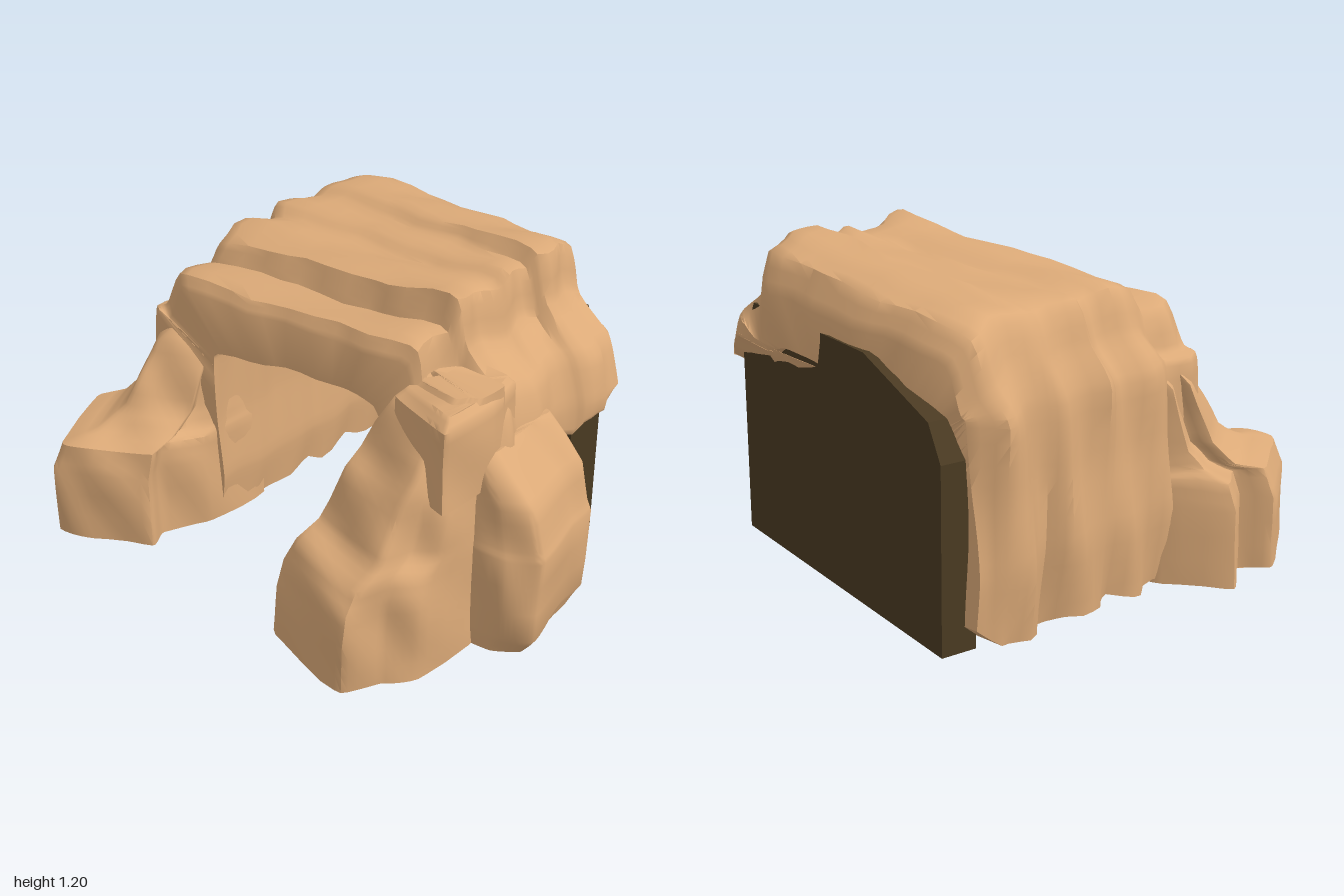
import * as THREE from 'three';
import { toCreasedNormals } from 'three/addons/utils/BufferGeometryUtils.js';

const rock = new THREE.MeshStandardMaterial({ color: 0xdcaa78, side: THREE.DoubleSide });
const dark = new THREE.MeshStandardMaterial({ color: 0x4a3a22 });

// Skin a stack of equal closed rings and close both ends with strips
function skin(rings, crease = 0.8) {
  const M = rings[0].length, pos = [], idx = [];
  rings.forEach(r => r.forEach(p => pos.push(p.x, p.y, p.z)));
  for (let j = 0; j < rings.length - 1; j++) {
    for (let i = 0; i < M; i++) {
      const a = j * M + i, b = j * M + (i + 1) % M;
      idx.push(a, b, a + M, b, b + M, a + M);
    }
  }
  const end = (rings.length - 1) * M;
  for (let i = 0; i < M / 2 - 1; i++) {
    const a = i, b = i + 1, c = M - 2 - i, d = M - 1 - i;
    idx.push(a, d, b, b, d, c);
    idx.push(end + a, end + b, end + d, end + b, end + c, end + d);
  }
  const g = new THREE.BufferGeometry();
  g.setAttribute('position', new THREE.Float32BufferAttribute(pos, 3));
  g.setIndex(idx);
  return toCreasedNormals(g, crease);
}

function sample(points, n, closed, tension) {
  const curve = new THREE.CatmullRomCurve3(
    points.map(([x, y]) => new THREE.Vector3(x, y, 0)), closed, 'catmullrom', tension);
  return Array.from({ length: n }, (_, i) => curve.getPoint(i / (closed ? n : n - 1)));
}

// Blend between rows of numbers, with sub steps per gap
function blend(rows, sub) {
  const out = [];
  for (let j = 0; j < rows.length - 1; j++) {
    for (let k = 0; k < sub; k++) {
      out.push(rows[j].map((v, i) => THREE.MathUtils.lerp(v, rows[j + 1][i], k / sub)));
    }
  }
  out.push(rows[rows.length - 1]);
  return out;
}

// Ridged tunnel; row: z, slant, left x, top left x, left y, right y, top right x, right x, left base, right base
const STATIONS = [
  [0.36, 0, -0.72, -0.57, 0.94, 1.01, 0.46, 0.70, 0.03, 0.02],
  [0.33, 0, -0.74, -0.60, 0.98, 1.07, 0.49, 0.74, 0.03, 0.01],
  [0.18, 0, -0.75, -0.60, 0.99, 1.07, 0.50, 0.76, 0.04, 0.00],
  [0.14, 0, -0.76, -0.59, 1.06, 1.18, 0.50, 0.77, 0.03, 0.00],
  [0.00, 0.03, -0.77, -0.58, 1.09, 1.16, 0.50, 0.75, 0.02, 0.00],
  [-0.12, 0.05, -0.73, -0.57, 1.07, 1.13, 0.49, 0.73, 0.05, 0.02],
  [-0.18, 0.06, -0.76, -0.59, 1.09, 1.16, 0.50, 0.75, 0.02, 0.62],
  [-0.32, 0.10, -0.72, -0.58, 1.08, 1.15, 0.50, 0.74, 0.05, 0.58],
  [-0.37, 0.13, -0.68, -0.56, 1.10, 1.20, 0.51, 0.76, 0.03, 0.62],
  [-0.50, 0.15, -0.72, -0.57, 1.09, 1.18, 0.52, 0.81, 0.03, 0.64],
  [-0.61, 0.17, -0.73, -0.57, 1.06, 1.14, 0.50, 0.76, 0.06, 0.70],
  [-0.67, 0.17, -0.66, -0.55, 0.98, 1.00, 0.44, 0.66, 0.12, 0.80],
];

function tunnelRing([z, slant, xl, tl, yl, yr, tr, xr, bl, br]) {
  const up = y => Math.max(y, br);
  const inRight = (x, y) => [y < br ? 0.44 : x, up(y)];
  const outer = [
    [xl, bl], [xl - 0.02, 0.3], [xl, 0.55], [xl + 0.01, 0.8], [tl - 0.08, yl - 0.15], [tl, yl],
    [-0.2, yl * 0.67 + yr * 0.33], [0.2, yl * 0.33 + yr * 0.67], [tr, yr], [tr + 0.05, yr - 0.17],
    [xr - 0.05, up(0.86)], [xr, up(0.7)], [xr, up(0.4)], [xr - 0.02, br],
  ];
  const inner = [
    [-0.42, bl], [-0.4, 0.2], [-0.42, 0.45], [-0.42, 0.7], [-0.4, 0.745], [-0.1, 0.79], [0.2, 0.82],
    [0.35, 0.82], inRight(0.4, 0.72), inRight(0.33, 0.45), inRight(0.23, 0.2), inRight(0.16, br),
  ];
  const ring = [...sample(outer, 54, false, 0.3), ...sample(inner, 54, false, 0.2).reverse()];
  ring.forEach((p, i) => {
    // The slant turns forward again past the left roof edge
    const zz = z + slant * Math.max(p.x, -1.1 - p.x);
    const side = Math.min(1, Math.abs(p.x) / 0.5) ** 4;
    // Vertical folds on the walls, faint ripples over the roof
    p.x += side * 0.02 * Math.sin(zz * 27 + p.y * 4 + (i < 54 ? 0 : 2));
    p.y += 0.008 * Math.sin(p.x * 9 + zz * 21);
    p.z = zz + 0.008 * Math.sin(p.x * 22 + p.y * 7);
  });
  return ring;
}

// Rock column: a floor outline [x, z] scaled about a pivot; levels are [y, x scale, z scale]
function column(name, outline, [px, pz], levels, tension = 0.2) {
  const base = sample(outline, 48, true, tension);
  const rings = blend(levels, 3).map(([y, sx, sz]) => base.map(p => {
    const x = px + (p.x - px) * sx, z = pz + (p.y - pz) * sz;
    const w = 0.01 * Math.sin(x * 17 + y * 9) * Math.cos(z * 15 - y * 6);
    return new THREE.Vector3(x + w, Math.max(0, y + w * (y > 0.1 ? 1 : 0)), z + w);
  }));
  return mesh(name, skin(rings), rock);
}

function mesh(name, geometry, material) {
  const m = new THREE.Mesh(geometry, material);
  m.name = name;
  return m;
}

export function createModel() {
  const group = new THREE.Group();
  group.name = 'caveEntrance';

  group.add(mesh('rockTunnel', skin(blend(STATIONS, 3).map(tunnelRing)), rock));

  // Front spurs flanking the mouth
  group.add(column('leftSpur',
    [[-0.99, 0.25], [-0.9, 0.41], [-1, 0.49], [-0.82, 0.83], [-0.7, 0.79], [-0.48, 0.66], [-0.51, 0.58], [-0.42, 0.42], [-0.42, 0.12], [-0.75, 0.1]],
    [-0.45, 0.1],
    [[0.02, 1, 1], [0.3, 0.99, 1], [0.4, 0.93, 0.95], [0.43, 0.78, 0.78], [0.5, 0.68, 0.62], [0.62, 0.62, 0.52], [0.72, 0.58, 0.42], [0.77, 0.5, 0.33]]));
  group.add(column('rightSpur',
    [[0.32, 0.1], [0.3, 0.35], [0.2, 0.42], [0.28, 0.48], [0.2, 0.72], [0.6, 0.82], [0.66, 0.68], [0.75, 0.58], [0.75, 0.1]],
    [0.75, 0.2],
    [[0, 1, 1], [0.2, 0.96, 1], [0.32, 0.91, 0.98], [0.4, 0.86, 0.91], [0.45, 0.81, 0.75], [0.52, 0.77, 0.69], [0.64, 0.72, 0.6], [0.71, 0.67, 0.5], [0.8, 0.62, 0.42], [0.9, 0.52, 0.36], [0.96, 0.42, 0.25]]));

  // Overhanging block on the right shoulder
  group.add(column('shoulderBlock',
    [[0.5, 0.08], [0.48, 0.41], [0.76, 0.5], [0.77, 0.25], [0.73, 0.08]], [0.62, 0.2],
    [[0.62, 1, 1], [0.8, 1, 1], [0.92, 0.98, 0.98], [0.95, 0.8, 0.8]], 0.1));

  // Boulder against the right wall
  group.add(column('sideBoulder',
    [[0.6, -0.12], [0.6, 0.32], [0.88, 0.32], [0.99, 0.25], [0.94, 0], [0.92, -0.13]], [0.65, 0.1],
    [[0, 0.8, 0.96], [0.08, 0.94, 1], [0.4, 1, 1], [0.44, 0.95, 0.97], [0.58, 0.84, 0.95], [0.66, 0.6, 0.92], [0.74, 0.36, 0.85]]));

  // Recessed pillar under the rear right overhang
  group.add(column('rearPillar',
    [[0.46, -0.34], [0.44, -0.2], [0.44, -0.04], [0.66, -0.04], [0.62, -0.18], [0.67, -0.24], [0.64, -0.34]], [0.56, -0.2],
    [[0.01, 1, 1], [0.2, 0.9, 0.92], [0.35, 0.96, 0.85], [0.5, 0.9, 0.95], [0.66, 1, 1]]));

  // Dark slab closing the back, set at a slant
  const outline = [[-0.62, 0.03], [0.72, 0.03], [0.72, 0.75], [0.62, 0.93], [-0.16, 0.93], [-0.55, 0.8], [-0.62, 0.68]];
  const shape = new THREE.Shape(outline.map(([x, y]) => new THREE.Vector2(x, y)));
  const slab = mesh('backSlab', new THREE.ExtrudeGeometry(shape, { depth: 0.13, bevelEnabled: false }), dark);
  slab.rotation.y = -Math.atan(0.26);
  slab.position.z = -0.68;
  group.add(slab);

  return group;
}
